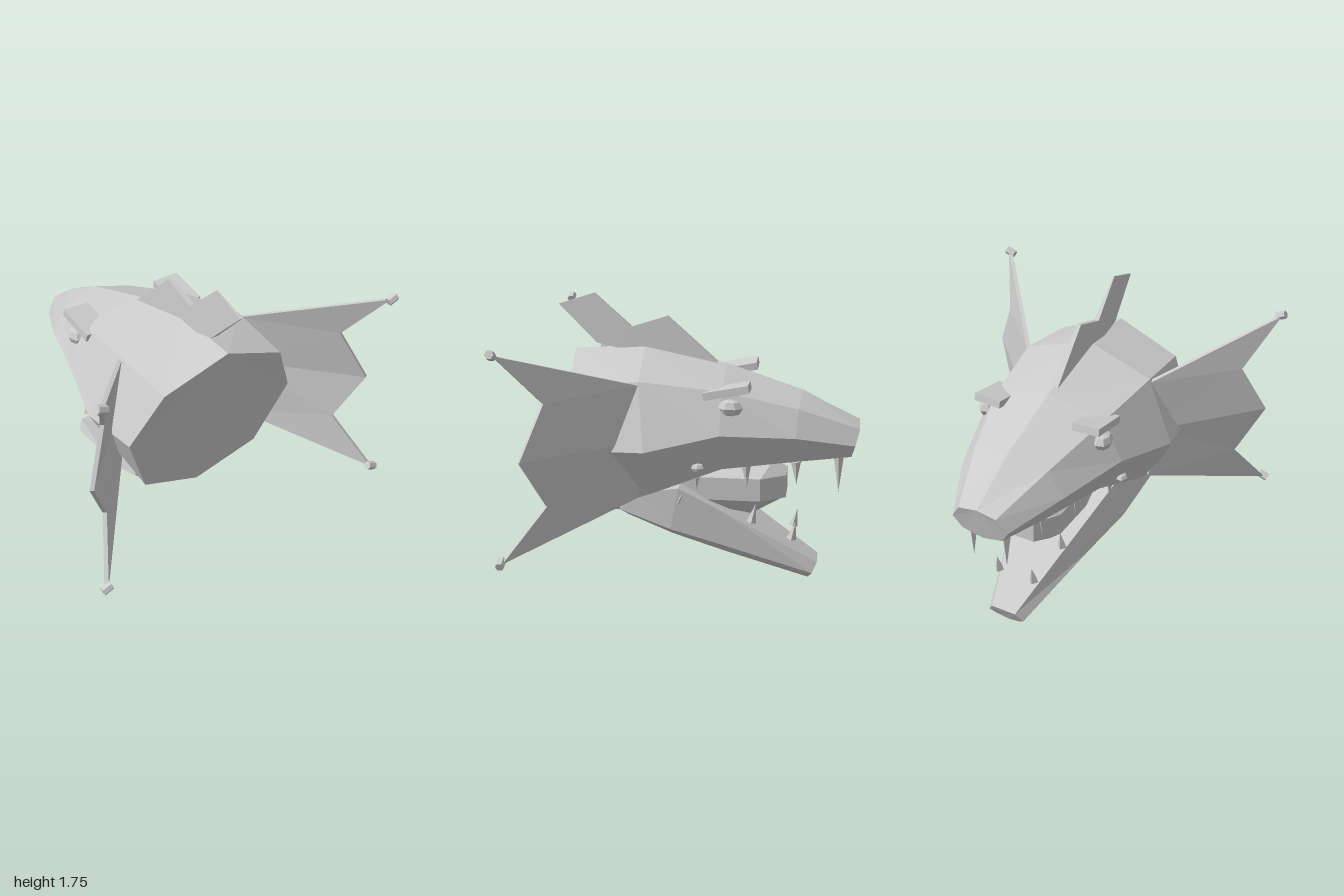
import * as THREE from 'three';

const mat = new THREE.MeshStandardMaterial({ color: 0xcccccc, flatShading: true });
const thinMat = new THREE.MeshStandardMaterial({ color: 0xcccccc, flatShading: true, side: THREE.DoubleSide });

function geometryFrom(points, index) {
  const g = new THREE.BufferGeometry();
  g.setAttribute('position', new THREE.Float32BufferAttribute(points.flat(), 3));
  g.setIndex(index);
  const flat = g.toNonIndexed();
  flat.computeVertexNormals();
  return flat;
}

// Closed hull through half cross-sections (top to bottom, x >= 0), ordered from +z to -z
function loft(halves) {
  const rings = halves.map(h => [
    ...h.map(([x, y, z]) => [-x, y, z]),
    ...h.filter(p => p[0] > 0).reverse(),
  ]);
  const n = rings[0].length, points = rings.flat(), index = [];
  for (let i = 0; i < rings.length - 1; i++) {
    for (let j = 0; j < n; j++) {
      const k = (j + 1) % n;
      const a = i * n + j, b = i * n + k, c = b + n, d = a + n;
      index.push(a, d, b, b, d, c);
    }
  }
  const last = (rings.length - 1) * n;
  for (let j = 1; j < n - 1; j++) {
    index.push(0, j, j + 1, last, last + j + 1, last + j);
  }
  return geometryFrom(points, index);
}

function add(parent, name, geometry, material = mat) {
  const m = new THREE.Mesh(geometry, material);
  m.name = name;
  parent.add(m);
  return m;
}

// Four-sided spike from base to tip
function spike(parent, name, base, tip, radius) {
  const a = new THREE.Vector3(...base), b = new THREE.Vector3(...tip);
  const dir = b.clone().sub(a);
  const m = add(parent, name, new THREE.ConeGeometry(radius, dir.length(), 4));
  m.position.copy(a).add(b).multiplyScalar(0.5);
  m.quaternion.setFromUnitVectors(new THREE.Vector3(0, 1, 0), dir.normalize());
}

// Thin ridged frill, its two skins joined around the rim
function frillGeometry(s) {
  const outline = [
    [0.42, 1.29, 0.28], [0.96, 1.56, 0.96], [0.82, 1.27, 0.73], [0.96, 0.97, 0.84],
    [0.82, 0.68, 0.73], [0.96, 0.38, 0.96], [0.43, 0.62, 0.28], [0.46, 0.97, 0.28],
  ];
  const skin = o => outline.map(([x, y, z]) => [s * (x + 0.8 * o), y, z - 0.6 * o]);
  const tris = [0, 1, 2, 0, 2, 7, 7, 2, 3, 7, 3, 4, 7, 4, 6, 6, 4, 5];
  const index = [...tris, ...tris.map(i => i + 8).reverse()];
  for (let i = 0; i < 8; i++) {
    const j = (i + 1) % 8;
    index.push(i, i + 8, j, j, i + 8, j + 8);
  }
  return geometryFrom([...skin(0.012), ...skin(-0.012)], index);
}

export function createModel() {
  const model = new THREE.Group();
  model.name = 'beastHead';

  // Neck, skull and snout in one octagonal hull
  add(model, 'skull', loft([
    [[0, 1.41, 0.72], [0.40, 1.26, 0.69], [0.565, 0.93, 0.59], [0.40, 0.53, 0.5], [0, 0.38, 0.46]],
    [[0, 1.44, 0.3], [0.42, 1.31, 0.27], [0.6, 0.94, 0.22], [0.42, 0.64, 0.2], [0, 0.6, 0.18]],
    [[0, 1.34, -0.2], [0.355, 1.25, -0.2], [0.48, 1.02, -0.2], [0.34, 0.78, -0.2], [0, 0.73, -0.2]],
    [[0, 1.19, -0.66], [0.24, 1.13, -0.64], [0.34, 0.98, -0.63], [0.24, 0.81, -0.62], [0, 0.76, -0.62]],
    [[0, 1.01, -1], [0.12, 0.99, -1], [0.18, 0.9, -0.975], [0.13, 0.82, -0.955], [0, 0.79, -0.95]],
  ]));

  // Dropped lower jaw
  add(model, 'lowerJaw', loft([
    [[0.36, 0.62, 0.29], [0.40, 0.53, 0.40], [0.25, 0.44, 0.36], [0, 0.42, 0.34]],
    [[0.31, 0.64, 0.06], [0.36, 0.40, 0.1], [0.24, 0.33, 0.1], [0, 0.31, 0.1]],
    [[0.24, 0.48, -0.2], [0.27, 0.28, -0.2], [0.18, 0.21, -0.2], [0, 0.2, -0.2]],
    [[0.08, 0.12, -0.77], [0.12, 0.06, -0.74], [0.08, 0.02, -0.715], [0, 0.005, -0.71]],
  ]));

  // Blocky tongue
  add(model, 'tongue', loft([
    [[0.12, 0.72, 0.1], [0.2, 0.68, 0.1], [0.2, 0.54, 0.1], [0.1, 0.5, 0.1]],
    [[0.12, 0.74, -0.47], [0.2, 0.68, -0.42], [0.2, 0.54, -0.42], [0.1, 0.43, -0.36]],
    [[0.07, 0.68, -0.57], [0.1, 0.68, -0.57], [0.1, 0.54, -0.57], [0.07, 0.54, -0.57]],
  ]));

  // Crest blade, extruded and thinned towards its tips
  const crest = new THREE.Shape([
    [0.16, 1.3], [-0.16, 1.34], [-0.38, 1.3], [-0.59, 1.36], [-0.45, 1.42],
    [-0.59, 1.45], [-0.82, 1.68], [-0.6, 1.75], [-0.38, 1.55], [-0.16, 1.62], [0.15, 1.34],
  ].filter((p, i) => i !== 3).map(p => new THREE.Vector2(...p)));
  const crestGeo = new THREE.ExtrudeGeometry(crest, { depth: 1, bevelEnabled: false });
  crestGeo.translate(0, 0, -0.5).rotateY(Math.PI / 2);
  const pos = crestGeo.attributes.position;
  for (let i = 0; i < pos.count; i++) {
    const t = THREE.MathUtils.clamp((pos.getY(i) - 1.4) / 0.35, 0, 1);
    pos.setX(i, pos.getX(i) * THREE.MathUtils.lerp(0.05, 0.008, t));
  }
  crestGeo.computeVertexNormals();
  add(model, 'crest', crestGeo);

  // Paired parts
  const upperTeeth = [ // x, base y, tip y, z, radius
    [0.33, 0.72, 0.645, -0.05, 0.02], [0.26, 0.79, 0.65, -0.34, 0.03],
    [0.2, 0.8, 0.66, -0.63, 0.03], [0.11, 0.83, 0.59, -0.88, 0.032],
  ];
  const lowerTeeth = [
    [0.31, 0.55, 0.61, 0.06, 0.02], [0.18, 0.4, 0.52, -0.37, 0.03], [0.12, 0.28, 0.39, -0.61, 0.03],
  ];
  for (const s of [1, -1]) {
    const side = s > 0 ? 'left' : 'right';

    // Frill with a small knob on each point
    add(model, side + 'Frill', frillGeometry(s), thinMat);
    for (const y of [1.56, 0.38]) {
      const knob = add(model, side + 'FrillKnob', new THREE.CylinderGeometry(0.026, 0.026, 0.06, 6));
      knob.position.set(s * 0.96, y, 0.965);
      knob.rotation.z = s * (y > 1 ? -1.2 : 1.2);
    }

    // Eye under a slanted brow, and a bump on the cheek
    const eye = add(model, side + 'Eye', new THREE.SphereGeometry(1, 7, 4));
    eye.scale.set(0.055, 0.052, 0.075);
    eye.position.set(s * 0.385, 1.165, -0.255);
    const brow = add(model, side + 'Brow', new THREE.BoxGeometry(0.17, 0.045, 0.265));
    brow.position.set(s * 0.325, 1.25, -0.23);
    brow.rotation.set(0.19, 0, s * 0.05);
    const bump = add(model, side + 'CheekBump', new THREE.SphereGeometry(1, 6, 4));
    bump.scale.set(0.035, 0.028, 0.042);
    bump.position.set(s * 0.42, 0.81, -0.07);

    // Fangs
    for (const [x, y0, y1, z, r] of upperTeeth) {
      spike(model, side + 'UpperTooth', [s * x, y0, z], [s * x, y1, z - 0.005], r);
    }
    for (const [x, y0, y1, z, r] of lowerTeeth) {
      spike(model, side + 'LowerTooth', [s * x, y0, z], [s * x, y1, z - 0.025], r);
    }
  }
  return model;
}
